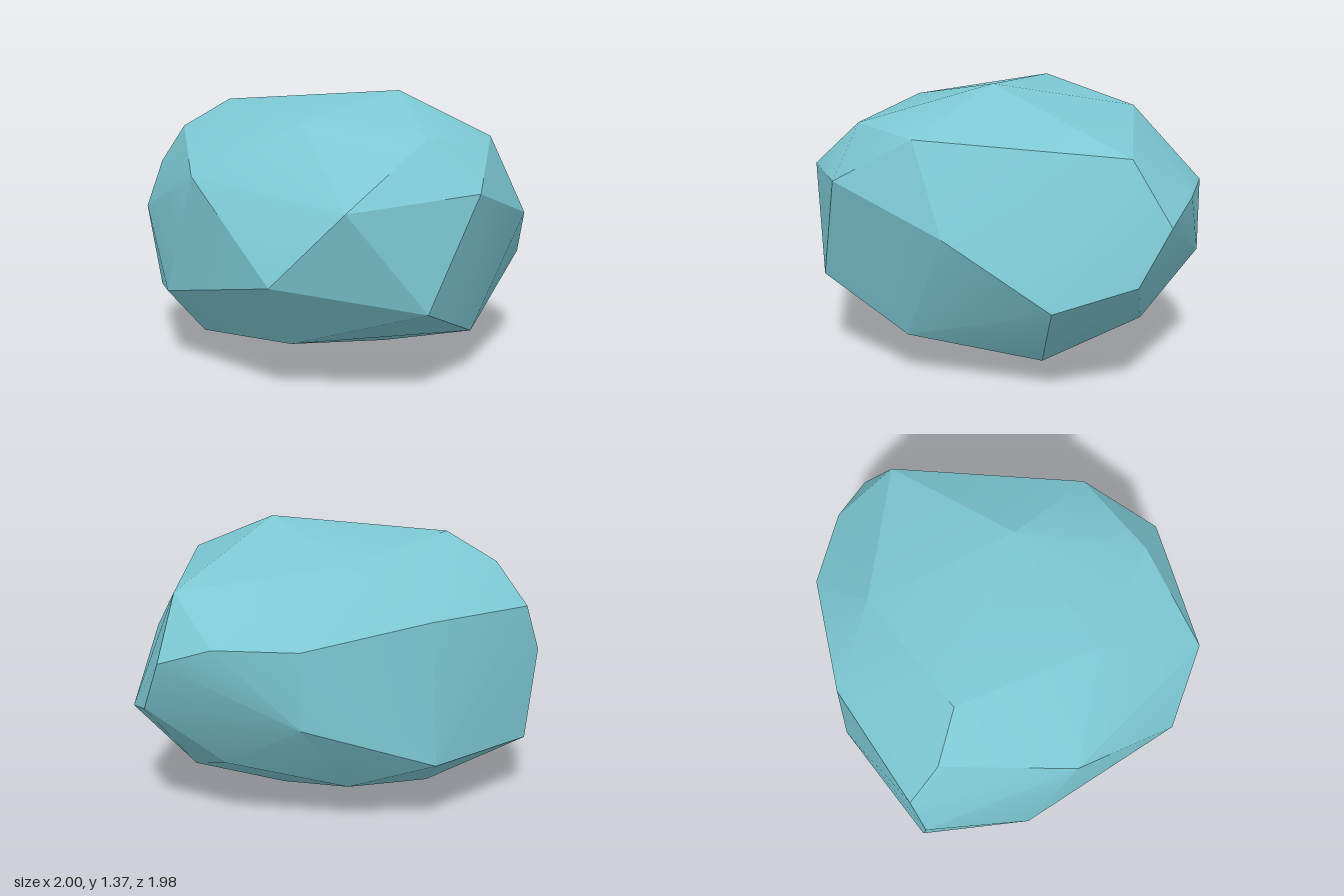
import * as THREE from 'three';
import { ConvexGeometry } from 'three/addons/geometries/ConvexGeometry.js';
import { toCreasedNormals } from 'three/addons/utils/BufferGeometryUtils.js';

// Corners of the boulder, by height band
const crown = [
  [0.36, 1.365, -0.02], [-0.53, 1.31, -0.03], [-0.03, 1.245, 0.52], [-0.13, 1.22, -0.6],
  [0.56, 1.18, 0.59], [0.83, 1.165, 0.2], [-0.78, 1.165, -0.03], [0.64, 1.1, -0.76],
];
const shoulder = [
  [-0.55, 0.985, 0.58], [-0.53, 0.98, -0.64], [-0.94, 0.965, -0.125], [0.81, 0.945, 0.61],
  [0.26, 0.9, 0.985], [0.4, 0.895, -0.99], [0.01, 0.895, -0.965], [0.665, 0.81, -0.95],
];
const waist = [
  [1, 0.765, 0], [-1, 0.73, -0.04], [-0.08, 0.56, 0.985], [0.78, 0.56, -0.83],
  [0.01, 0.54, -0.965], [0.965, 0.465, -0.49], [0.6, 0.42, 0.78], [-0.74, 0.38, 0.41],
];
const base = [
  [-0.56, 0.31, -0.67], [0.42, 0.3, -0.77], [-0.95, 0.285, -0.1], [-0.04, 0.235, 0.72],
  [0.76, 0.215, 0.27], [-0.15, 0.18, -0.67], [-0.57, 0.17, 0.35], [0.69, 0.135, -0.37],
  [-0.47, 0.07, -0.22], [0.27, 0, -0.2],
];

export function createModel() {
  const group = new THREE.Group();
  group.name = 'boulder';

  const stone = new THREE.MeshStandardMaterial({ color: 0x7cc8d3 });
  stone.name = 'blueStone';

  // Faceted stone: shallow edges blend, steeper ones stay sharp
  const corners = [...crown, ...shoulder, ...waist, ...base].map((p) => new THREE.Vector3(...p));
  const rock = new THREE.Mesh(toCreasedNormals(new ConvexGeometry(corners), 0.4), stone);
  rock.name = 'rock';
  group.add(rock);
  return group;
}
